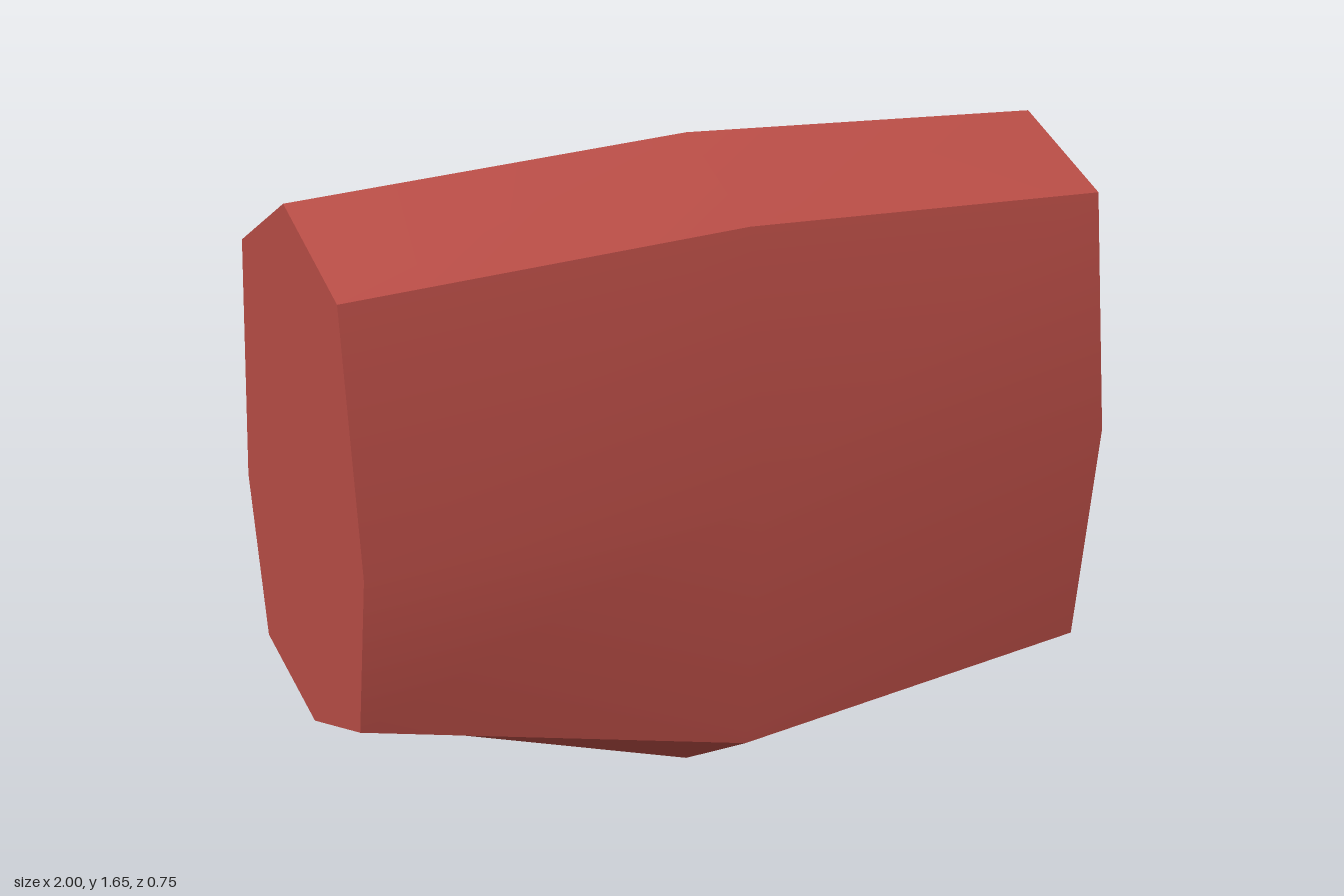
import * as THREE from 'three';
import { toCreasedNormals } from 'three/addons/utils/BufferGeometryUtils.js';

// Eight-sided section at x: ridge, shoulders, widest line, lower shoulders, keel
function section(x, top, shoulder, lower, keel) {
  const mid = 0.85, w = 0.3, widest = 0.373;
  return [
    [x, top, 0], [x, shoulder, w], [x, mid, widest], [x, lower, w],
    [x, keel, 0], [x, lower, -w], [x, mid, -widest], [x, shoulder, -w],
  ];
}

export function createModel() {
  const group = new THREE.Group();
  group.name = 'facetedBlock';

  const red = new THREE.MeshStandardMaterial({ color: 0xb94d46 });
  red.name = 'brick red';

  const rings = [
    section(-1, 1.6, 1.45, 0.455, 0.353),
    section(0, 1.65, 1.49, 0.178, 0),
    section(1, 1.6, 1.45, 0.255, 0.105),
  ];
  const n = 8;
  const points = rings.flat(2);
  const index = [];

  // Long faces between neighbouring sections
  for (let r = 0; r < rings.length - 1; r++) {
    for (let i = 0; i < n; i++) {
      const j = (i + 1) % n;
      const a = r * n + i, b = r * n + j, c = a + n, d = b + n;
      index.push(a, b, c, b, d, c);
    }
  }
  // Flat end caps
  const last = (rings.length - 1) * n;
  for (let i = 1; i < n - 1; i++) {
    index.push(0, i + 1, i);
    index.push(last, last + i, last + i + 1);
  }

  const geometry = new THREE.BufferGeometry();
  geometry.setAttribute('position', new THREE.Float32BufferAttribute(points, 3));
  geometry.setIndex(index);

  // Soft bends stay smooth, ridges and ends stay sharp
  const body = new THREE.Mesh(toCreasedNormals(geometry, 0.6), red);
  body.name = 'body';
  group.add(body);
  return group;
}
